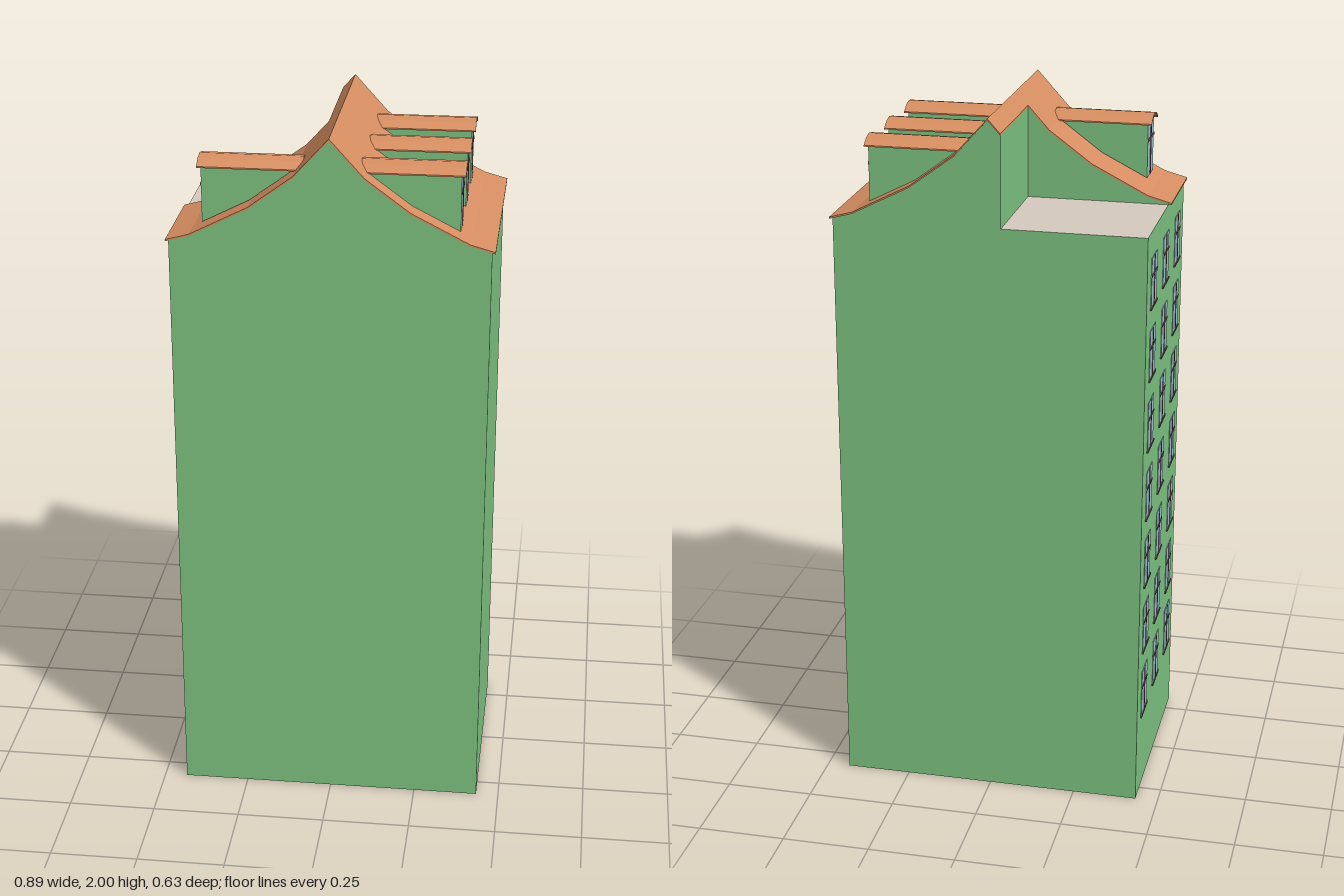
import * as THREE from 'three';

const mat = (color) => new THREE.MeshStandardMaterial({ color, side: THREE.DoubleSide, flatShading: true });

export function createModel() {
  const model = new THREE.Group();
  const green = mat(0x81c784), orange = mat(0xd88f62), stone = mat(0xd7ccc0);
  const glass = mat(0x9fc4cc), frame = mat(0x705a58);

  const W = 0.435, ZF = 0.314, ZB = -0.315, EAVE = 1.7;
  const NX = -0.035, NZ = 0.025; // corner of the roof terrace
  const T = 0.005; // roof thickness
  // Concave roof slope from ridge to eave, as [distance from ridge, height]
  const slope = [[0, 2], [0.095, 1.895], [0.217, 1.805], [0.378, 1.723], [0.444, 1.705]];
  const roofY = (x) => {
    const d = Math.abs(x);
    let i = 1;
    while (i < slope.length - 1 && d > slope[i][0]) i++;
    const [a, b] = [slope[i - 1], slope[i]];
    return a[1] + ((d - a[0]) / (b[0] - a[0])) * (b[1] - a[1]);
  };
  // Roof line points between two x values, lowered by dy
  const roofLine = (x0, x1, dy = 0) => {
    const xs = slope.flatMap(([d]) => [d, -d]).filter((x) => x > x0 && x < x1);
    return [...new Set([x0, ...xs, x1].map((x) => x + 0))].sort((a, b) => a - b).map((x) => [x, roofY(x) - dy]);
  };
  const shapeOf = (pts) => new THREE.Shape(pts.map(([x, y]) => new THREE.Vector2(x, y)));
  const add = (parent, name, geo, material, x = 0, y = 0, z = 0) => {
    const mesh = new THREE.Mesh(geo, material);
    mesh.name = name;
    mesh.position.set(x, y, z);
    parent.add(mesh);
    return mesh;
  };
  const sheet = (parent, name, pts, material, z) => add(parent, name, new THREE.ShapeGeometry(shapeOf(pts)), material, 0, 0, z);
  const sideWall = (name, x, z0, z1, y0, y1) =>
    add(model, name, new THREE.PlaneGeometry(z1 - z0, y1 - y0).rotateY(Math.sign(x) * Math.PI / 2), green, x, (y0 + y1) / 2, (z0 + z1) / 2);

  // Hollow tower, open underneath
  sheet(model, 'frontWall', [[-W, 0], [W, 0], ...roofLine(-W, W, T).reverse()], green, ZF);
  sheet(model, 'backWall', [[-W, 0], [W, 0], ...roofLine(NX, W, T).reverse(), [NX, EAVE], [-W, EAVE]], green, ZB);
  sideWall('rightWall', -W, ZB, ZF, 0, EAVE);
  sideWall('leftWall', W, ZB, ZF, 0, EAVE);

  // Terrace cut into the back corner
  sheet(model, 'terraceGable', [[-W, EAVE], [NX, EAVE], ...roofLine(-W, NX, T).reverse()], green, NZ);
  sideWall('terraceWall', NX, ZB, NZ, EAVE, roofY(NX) - T);
  add(model, 'terraceFloor', new THREE.PlaneGeometry(NX + W, NZ - ZB).rotateX(-Math.PI / 2), stone,
    (NX - W) / 2, EAVE, (NZ + ZB) / 2);

  // Curved roof: a full-depth part and the short part beside the terrace
  const roofPart = (name, x0, x1, z0, z1) => {
    const pts = [...roofLine(x0, x1, T), ...roofLine(x0, x1).reverse()];
    add(model, name, new THREE.ExtrudeGeometry(shapeOf(pts), { depth: z1 - z0, bevelEnabled: false }), orange, 0, 0, z0);
  };
  roofPart('mainRoof', NX, 0.444, -0.319, 0.315);
  roofPart('shortRoof', -0.444, NX, NZ - 0.001, 0.315);

  // Dormer with arched roof and window, facing +x
  const arch = (half, dy) => [[-1, 1.895], [-0.55, 1.911], [0, 1.917], [0.55, 1.911], [1, 1.895]].map(([u, y]) => [u * half, y - dy]);
  const makeDormer = () => {
    const dormer = new THREE.Group();
    dormer.name = 'dormer';
    const FX = 0.347;
    for (const s of [-1, 1])
      sheet(dormer, 'dormerCheek', [...roofLine(0.095, FX), [FX, 1.895]], green, s * 0.05);
    const pane = shapeOf([[-0.05, 1.738], [0.05, 1.738], ...arch(0.05, 0.003).reverse()]);
    add(dormer, 'dormerWindow', new THREE.ShapeGeometry(pane).rotateY(Math.PI / 2), glass, FX);
    add(dormer, 'dormerMullion', new THREE.BoxGeometry(0.004, 0.17, 0.008), frame, FX, 1.825);
    add(dormer, 'dormerTransom', new THREE.BoxGeometry(0.004, 0.008, 0.1), frame, FX, 1.845);
    const cap = shapeOf([...arch(0.055, 0.004), ...arch(0.055, 0).reverse()]);
    add(dormer, 'dormerRoof', new THREE.ExtrudeGeometry(cap, { depth: 0.284, bevelEnabled: false }).rotateY(Math.PI / 2), orange, 0.074);
    return dormer;
  };
  const columns = [-0.205, -0.003, 0.206];
  for (const z of columns) {
    const d = makeDormer();
    d.position.z = z;
    model.add(d);
  }
  const rightDormer = makeDormer();
  rightDormer.rotation.y = Math.PI;
  rightDormer.position.set(-0.005, 0, columns[2]);
  model.add(rightDormer);

  // Window grid on the right wall, seven floors
  for (const z of columns)
    for (let row = 0; row < 7; row++) {
      const win = new THREE.Group();
      win.name = 'window';
      win.position.set(-W, 0.31 + row * 0.2075, z);
      add(win, 'pane', new THREE.BoxGeometry(0.004, 0.14, 0.09), glass);
      add(win, 'mullion', new THREE.BoxGeometry(0.007, 0.14, 0.007), frame);
      add(win, 'transom', new THREE.BoxGeometry(0.007, 0.007, 0.09), frame, 0, 0.02);
      add(win, 'sill', new THREE.BoxGeometry(0.009, 0.006, 0.104), frame, 0, -0.072);
      model.add(win);
    }
  return model;
}
